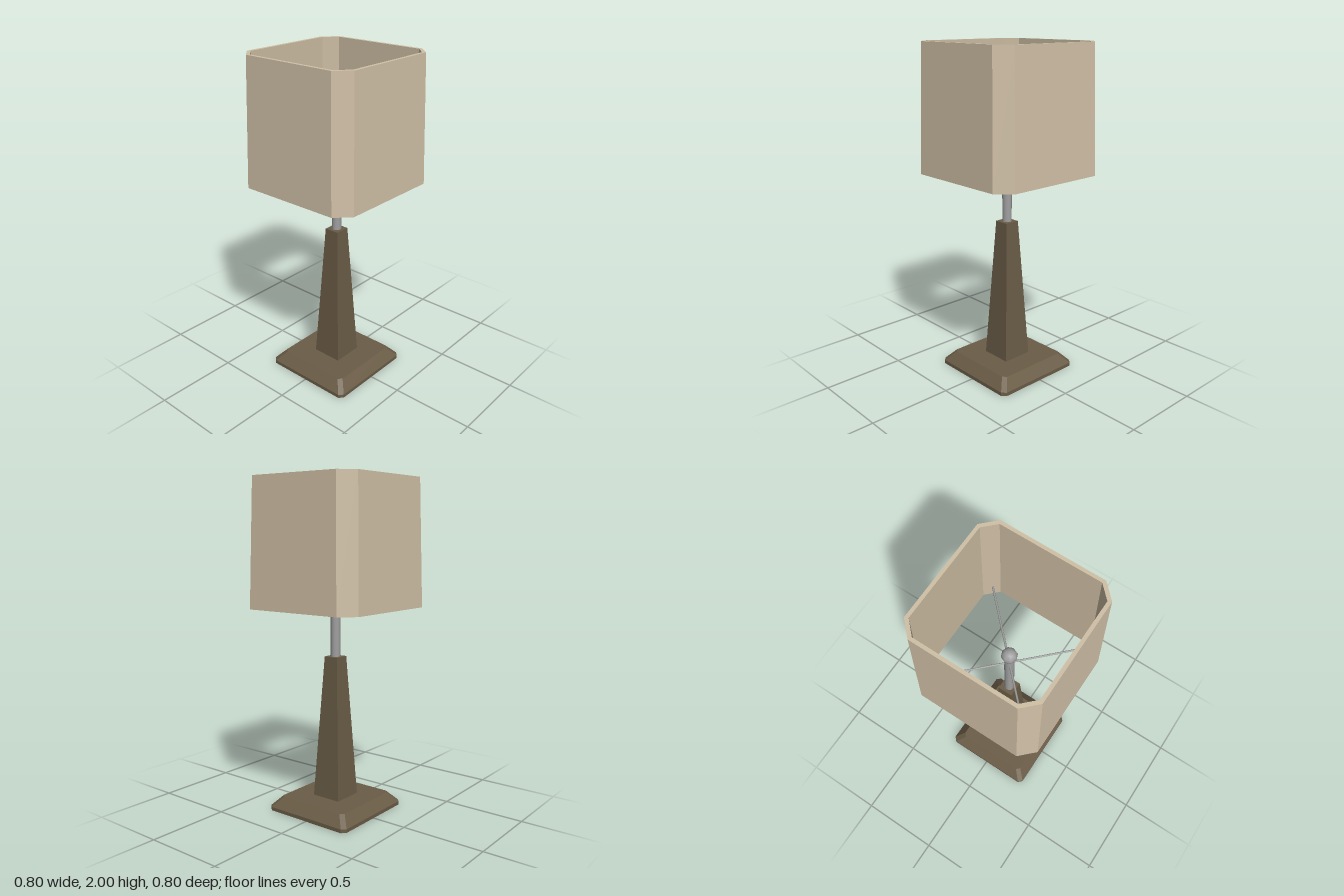
import * as THREE from 'three';

const material = (color, extra = {}) => new THREE.MeshStandardMaterial({ color, ...extra });

// Square with cut corners: half width, corner cut, height
function ring([half, cut, y]) {
  const k = half - cut;
  return [[half, -k], [half, k], [k, half], [-k, half], [-half, k], [-half, -k], [-k, -half], [k, -half]]
    .map(([x, z]) => new THREE.Vector3(x, y, z));
}

// Joins successive rings with flat faces; optionally closes the last ring
function loft(profile, cap = false) {
  const rings = profile.map(ring);
  const points = [];
  for (let r = 0; r < rings.length - 1; r++) {
    const a = rings[r], b = rings[r + 1];
    for (let i = 0; i < 8; i++) {
      const j = (i + 1) % 8;
      points.push(a[i], b[i], a[j], a[j], b[i], b[j]);
    }
  }
  if (cap) {
    const top = rings[rings.length - 1];
    for (let i = 1; i < 7; i++) points.push(top[0], top[i + 1], top[i]);
  }
  const geometry = new THREE.BufferGeometry().setFromPoints(points);
  geometry.computeVertexNormals();
  return geometry;
}

export function createModel() {
  const lamp = new THREE.Group();
  lamp.name = 'tableLamp';
  const stand = new THREE.Group();
  stand.name = 'stand';
  stand.position.set(-0.002, 0, 0.006);
  lamp.add(stand);

  const wood = material(0x6a5c46, { flatShading: true, side: THREE.DoubleSide });
  const fabric = material(0xd0c0a6, { flatShading: true });
  const metal = material(0xa0a0a0);

  const add = (parent, name, geometry, mat, y = 0) => {
    const mesh = new THREE.Mesh(geometry, mat);
    mesh.name = name;
    mesh.position.y = y;
    parent.add(mesh);
    return mesh;
  };

  // Hollow foot, open underneath
  add(stand, 'foot', loft([[0.292, 0.024, 0], [0.292, 0.024, 0.022], [0.237, 0.022, 0.083]], true), wood);

  // Tapered square column
  const column = new THREE.CylinderGeometry(0.046 * Math.SQRT2, 0.095 * Math.SQRT2, 0.867, 4);
  column.rotateY(Math.PI / 4);
  add(stand, 'column', column, wood, 0.083 + 0.867 / 2);

  // Metal pole and ball on top
  add(stand, 'pole', new THREE.CylinderGeometry(0.029, 0.029, 0.47, 12), metal, 1.185);
  add(stand, 'ball', new THREE.SphereGeometry(0.047, 8, 6), metal, 1.43);

  // Crossed rods that carry the shade
  for (const side of [-1, 1]) {
    const rod = new THREE.CylinderGeometry(0.006, 0.006, 0.96, 6);
    rod.rotateZ(Math.PI / 2);
    rod.rotateY(side * Math.PI / 4);
    add(stand, 'shadeRod', rod, metal, 1.33);
  }

  // Shade wall with thickness, open above and below
  add(lamp, 'shade', loft([
    [0.4, 0.083, 1.245], [0.38, 0.08, 2], [0.36, 0.07, 2], [0.38, 0.073, 1.245], [0.4, 0.083, 1.245],
  ]), fabric);

  return lamp;
}
